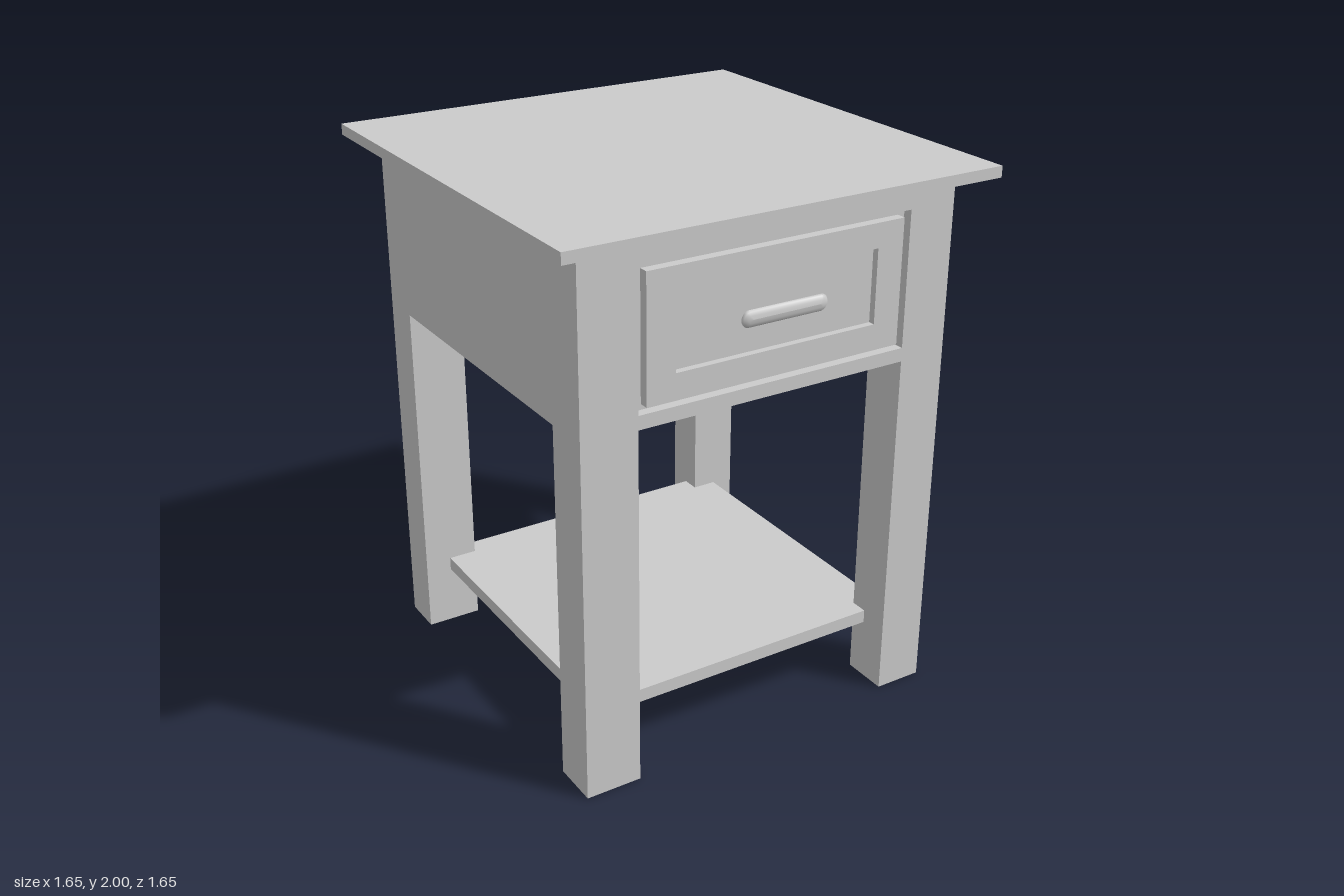
import * as THREE from 'three';

const material = new THREE.MeshStandardMaterial({ color: 0xcccccc });

function add(group, name, geometry) {
  const mesh = new THREE.Mesh(geometry, material);
  mesh.name = name;
  group.add(mesh);
}

// Box given by its limits on each axis
function block(x0, x1, y0, y1, z0, z1) {
  return new THREE.BoxGeometry(x1 - x0, y1 - y0, z1 - z0)
    .translate((x0 + x1) / 2, (y0 + y1) / 2, (z0 + z1) / 2);
}

// Rectangular frame between an outer and an inner rectangle [x0, x1, y0, y1]
function frame(outer, inner, z0, z1) {
  const corners = ([x0, x1, y0, y1]) => [[x0, y0], [x1, y0], [x1, y1], [x0, y1]]
    .map(([x, y]) => new THREE.Vector2(x, y));
  const shape = new THREE.Shape(corners(outer));
  shape.holes.push(new THREE.Path(corners(inner).reverse()));
  return new THREE.ExtrudeGeometry(shape, { depth: z1 - z0, bevelEnabled: false }).translate(0, 0, z0);
}

// Long knob: stadium-shaped loops [z, half length of straight part, end radius], front to back
function pull(loops, sides = 24) {
  const positions = [], index = [];
  loops.forEach(([z, half, r], k) => {
    for (let i = 0; i < sides; i++) {
      const a = ((i + 0.5) / sides) * Math.PI * 2;
      positions.push(Math.cos(a) * r + Math.sign(Math.cos(a)) * half, Math.sin(a) * r, z);
      if (k === 0) continue;
      const j = (i + 1) % sides, f = (k - 1) * sides, b = k * sides;
      index.push(f + i, b + i, b + j, f + i, b + j, f + j);
    }
  });
  const geometry = new THREE.BufferGeometry();
  geometry.setAttribute('position', new THREE.Float32BufferAttribute(positions, 3));
  geometry.setIndex(index);
  geometry.computeVertexNormals();
  return geometry;
}

export function createModel() {
  const model = new THREE.Group();
  model.name = 'sideTable';

  add(model, 'tableTop', block(-0.823, 0.823, 1.96, 2, -0.823, 0.823));

  // Body: solid case with a front frame leaving the drawer opening
  const faceZ = 0.72, backZ = 0.685;
  const opening = [-0.512, 0.535, 1.38, 1.87];
  add(model, 'case', block(-0.72, 0.717, 1.33, 1.96, -0.72, backZ));
  add(model, 'caseFrontFrame', frame([-0.72, 0.717, 1.33, 1.96], opening, backZ, faceZ));

  // Legs, flush with the case
  for (const [side, x0, x1] of [['Right', -0.72, -0.512], ['Left', 0.535, 0.717]]) {
    add(model, `front${side}Leg`, block(x0, x1, 0, 1.33, 0.545, 0.72));
    add(model, `back${side}Leg`, block(x0, x1, 0, 1.33, -0.72, -0.56));
  }

  // Lower shelf let into the legs
  add(model, 'shelf', block(-0.62, 0.63, 0.227, 0.277, -0.63, 0.61));

  // Drawer: raised frame around a sunken panel, with a pull
  const drawer = new THREE.Group();
  drawer.name = 'drawer';
  const panel = [-0.375, 0.405, 1.493, 1.76];
  add(drawer, 'drawerFrame', frame([-0.482, 0.508, 1.4, 1.848], panel, backZ, faceZ));
  add(drawer, 'drawerPanel', block(...panel, backZ - 0.01, 0.695));
  add(drawer, 'drawerPull', pull([
    [0.76, 0.13, 0], [0.758, 0.135, 0.013], [0.753, 0.137, 0.025], [0.746, 0.138, 0.03],
    [0.739, 0.135, 0.025], [0.73, 0.12, 0.011], [0.722, 0.11, 0.005], [0.69, 0.11, 0.005],
  ]).translate(0.017, 1.63, 0));
  model.add(drawer);

  return model;
}
